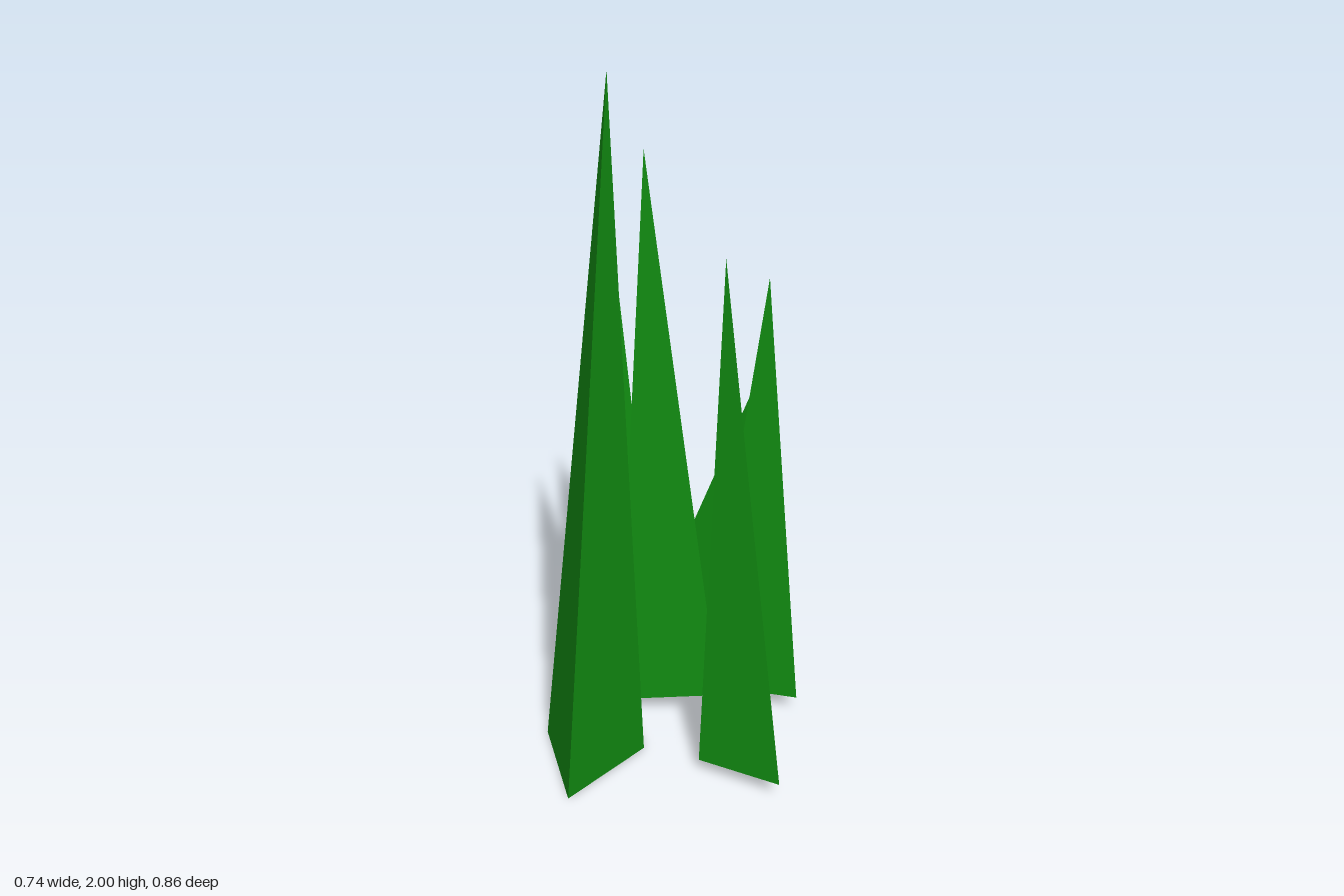
import * as THREE from 'three';

// Each blade: three base corners and a leaning tip, as [x, y, z]
const BLADES = {
  frontLeftBlade: [[-0.37, 0, 0.08], [-0.31, 0, 0.37], [-0.09, 0, 0.17], [-0.16, 2, 0.235]],
  frontRightBlade: [[0.06, 0.05, 0.29], [0.27, 0.07, 0.43], [0.235, 0.05, 0.135], [0.12, 1.53, 0.21]],
  centreBlade: [[-0.16, 0.07, 0.03], [0.14, 0.07, 0.03], [-0.01, 0.07, -0.23], [-0.065, 1.72, -0.07]],
  sideBlade: [[0.09, 0.065, -0.035], [0.37, 0.065, 0.05], [0.3, 0.065, -0.24], [0.265, 1.365, -0.065]],
  backLeftBlade: [[-0.305, 0.06, -0.14], [-0.02, 0.06, -0.233], [-0.243, 0.06, -0.433], [-0.152, 1.48, -0.358]],
  backRightBlade: [[-0.05, 0.065, -0.362], [0.143, 0.065, -0.131], [0.247, 0.065, -0.414], [0.273, 0.92, -0.347]],
};

// Closed three-sided spike; base corners run counter-clockwise seen from above
function spike([a, b, c, tip]) {
  const faces = [a, b, tip, b, c, tip, c, a, tip, a, c, b];
  const geometry = new THREE.BufferGeometry();
  geometry.setAttribute('position', new THREE.Float32BufferAttribute(faces.flat(), 3));
  geometry.computeVertexNormals();
  return geometry;
}

export function createModel() {
  const group = new THREE.Group();
  group.name = 'grassTuft';
  const green = new THREE.MeshStandardMaterial({ color: 0x118811, flatShading: true });
  for (const [name, corners] of Object.entries(BLADES)) {
    const blade = new THREE.Mesh(spike(corners), green);
    blade.name = name;
    group.add(blade);
  }
  return group;
}
